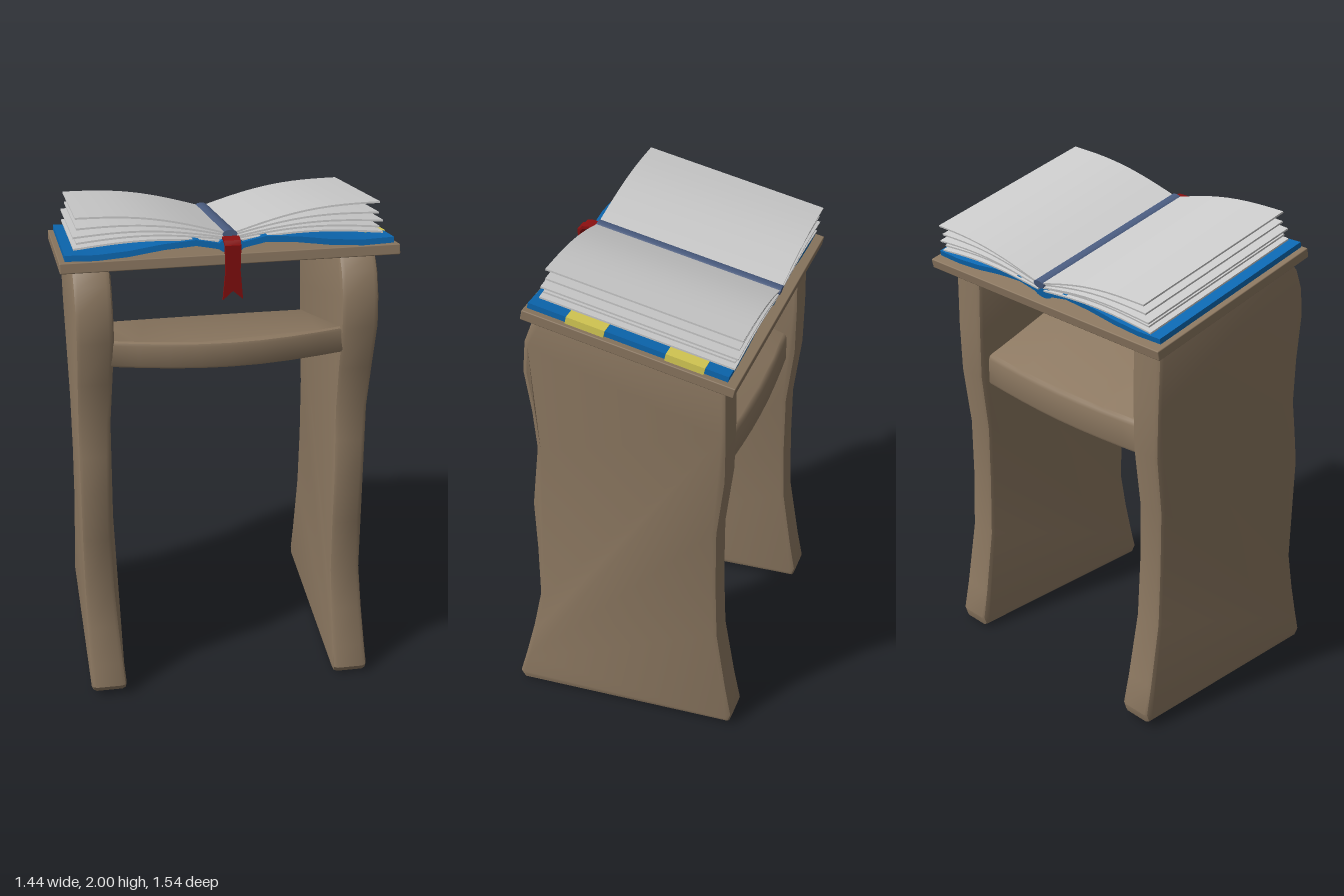
import * as THREE from 'three';
import { toCreasedNormals } from 'three/addons/utils/BufferGeometryUtils.js';
import { RoundedBoxGeometry } from 'three/addons/geometries/RoundedBoxGeometry.js';

const paint = (color) => new THREE.MeshStandardMaterial({ color, side: THREE.DoubleSide });
const WOOD = paint(0x8b7760), BLUE = paint(0x0c68b2), PAGE = paint(0xcccccc);
const SPINE = paint(0x4a5c80), RED = paint(0x8c1010), YELLOW = paint(0xd8cc55);

function add(parent, name, geometry, material, x = 0, y = 0, z = 0) {
  const mesh = new THREE.Mesh(geometry, material);
  mesh.name = name;
  mesh.position.set(x, y, z);
  parent.add(mesh);
  return mesh;
}

// Extrudes an outline to a slab centred on its thickness, with softened edges.
function slab(points, thickness, bevel = 0) {
  const shape = new THREE.Shape(points.map(([x, y]) => new THREE.Vector2(x, y)));
  const geo = new THREE.ExtrudeGeometry(shape, {
    depth: thickness - 2 * bevel, bevelEnabled: bevel > 0, bevelSize: bevel,
    bevelThickness: bevel, bevelOffset: -bevel, bevelSegments: 2,
  });
  geo.translate(0, 0, bevel - thickness / 2);
  return toCreasedNormals(geo, 0.6);
}

// Thin strip following an upper line, given its thickness.
function strip(line, thick, depth) {
  const under = line.map(([x, y]) => [x, y - thick]).reverse();
  return slab([...line, ...under], depth);
}

// Moves every vertex by a rule, then renews the normals.
function reshape(geo, rule) {
  const at = geo.attributes.position, p = new THREE.Vector3();
  for (let i = 0; i < at.count; i++) {
    rule(p.fromBufferAttribute(at, i));
    at.setXYZ(i, p.x, p.y, p.z);
  }
  return toCreasedNormals(geo, 0.6);
}

export function createModel() {
  const model = new THREE.Group();
  model.name = 'readingStand';
  const stand = new THREE.Group();
  stand.name = 'stand';
  stand.rotation.y = 0.978;
  model.add(stand);

  // Wavy side panels, slimmer and slightly bent at mid height
  const legOutline = [
    [-0.412, 0.01], [0.495, 0.0], [0.515, 0.03], [0.49, 0.12], [0.45, 0.28], [0.416, 0.45],
    [0.42, 0.68], [0.427, 0.9], [0.409, 1.05], [0.392, 1.18], [0.402, 1.36], [0.424, 1.54],
    [0.413, 1.66], [0.378, 1.75], [0.335, 1.8], [-0.375, 1.645], [-0.38, 1.4],
    [-0.378, 1.2], [-0.348, 0.95], [-0.348, 0.7], [-0.357, 0.45], [-0.4, 0.18], [-0.425, 0.05],
  ];
  for (const [name, u, lift] of [['rightLeg', -0.517, 0.015], ['leftLeg', 0.487, 0]]) {
    const geo = slab(legOutline, 0.145, 0.02);
    geo.rotateY(-Math.PI / 2);
    const bent = reshape(geo, (p) => {
      const w = Math.sin(Math.PI * THREE.MathUtils.clamp(p.y / 1.5, 0, 1));
      p.x = p.x * (1 - 0.18 * w) - 0.022 * w * THREE.MathUtils.smoothstep(p.z, -0.4, 0.4);
    });
    add(stand, name, bent, WOOD, u, lift, 0).scale.y = 1 - lift / 1.75;
  }

  // Sloping shelf, thicker at the back, with a bowed front edge that stays level
  const shelfOutline = [];
  for (let i = 0; i <= 8; i++) {
    const t = i / 8;
    shelfOutline.push([-0.46 + 0.92 * t, -0.335 - 0.02 * Math.sin(Math.PI * t)]);
  }
  for (let i = 8; i >= 0; i--) {
    const t = i / 8;
    shelfOutline.push([-0.46 + 0.92 * t, 0.405 + 0.07 * Math.sin(Math.PI * t)]);
  }
  const shelfGeo = slab(shelfOutline, 0.12, 0.015);
  shelfGeo.rotateX(Math.PI / 2);
  const sloped = reshape(shelfGeo, (p) => {
    p.y += (0.367 - 0.3 * p.y) * Math.min(p.z, 0.385);
  });
  add(stand, 'shelf', sloped, WOOD, -0.015, 1.345, 0);

  // Sloping top; everything on it shares its tilt
  const desk = new THREE.Group();
  desk.name = 'desk';
  desk.position.set(0.004, 1.762, -0.03);
  desk.rotation.x = -0.216;
  stand.add(desk);
  add(desk, 'deskBoard', new RoundedBoxGeometry(1.272, 0.04, 0.825, 2, 0.004), WOOD, 0, -0.02, 0);

  // Book covers and rounded back
  const coverLine = [[0.615, 0.026], [0.5, 0.022], [0.38, 0.03], [0.25, 0.048], [0.13, 0.056], [0.05, 0.04], [0.03, 0.03]];
  for (const side of [-1, 1]) {
    const line = coverLine.map(([x, y]) => [side * x, y]);
    add(desk, side < 0 ? 'rightCover' : 'leftCover', strip(line, 0.022, 0.775), BLUE, 0, 0, 0.012);
  }
  const back = new THREE.CylinderGeometry(0.05, 0.05, 0.775, 16);
  back.rotateX(Math.PI / 2);
  add(desk, 'bookBack', back, BLUE, 0, 0.028, 0.012).scale.y = 0.55;

  // Fanned sheets on both sides: [outer x, outer height, bulge, depth]
  const sheets = [
    [0.58, 0.045, 0.02, 0.755], [0.568, 0.065, 0.022, 0.74], [0.58, 0.088, 0.024, 0.76],
    [0.565, 0.118, 0.024, 0.745], [0.568, 0.158, 0.026, 0.755],
  ];
  for (const side of [-1, 1]) {
    sheets.forEach(([outer, high, bulge, depth], k) => {
      const gutter = 0.042 + 0.008 * k;
      const line = [];
      for (let i = 0; i <= 12; i++) {
        const t = i / 12;
        line.push([side * (0.015 + (outer - 0.015) * t),
          gutter + (high - gutter) * t + bulge * Math.sin(Math.PI * t)]);
      }
      const name = (side < 0 ? 'rightSheet' : 'leftSheet') + (k + 1);
      add(desk, name, strip(line, 0.007, depth), PAGE, 0, 0, -0.005);
    });
  }

  // Binding strip in the gutter
  const binding = new THREE.CylinderGeometry(0.028, 0.028, 0.76, 12);
  binding.rotateX(Math.PI / 2);
  add(desk, 'binding', binding, SPINE, 0, 0.066, -0.007).scale.y = 0.6;

  // Index tabs on the left cover
  for (const z of [-0.21, 0.175]) {
    add(desk, 'indexTab', new THREE.BoxGeometry(0.08, 0.028, 0.15), YELLOW, 0.579, 0.014, z);
  }

  // Ribbon: a fold over the back, then a hanging strip with a notched end
  const ribbon = new THREE.Group();
  ribbon.name = 'ribbon';
  ribbon.position.set(0.004, 0, 0);
  stand.add(ribbon);
  const fold = strip([[0.325, 1.902], [0.35, 1.906], [0.373, 1.903], [0.385, 1.89], [0.389, 1.87]], 0.012, 0.062);
  fold.rotateY(-Math.PI / 2);
  add(ribbon, 'ribbonFold', fold, RED);
  const tail = slab([[-0.03, 1.89], [-0.028, 1.79], [-0.038, 1.675], [0, 1.71], [0.038, 1.675], [0.028, 1.79], [0.03, 1.89]], 0.01);
  add(ribbon, 'ribbonTail', tail, RED, 0, 0, 0.388);

  return model;
}
